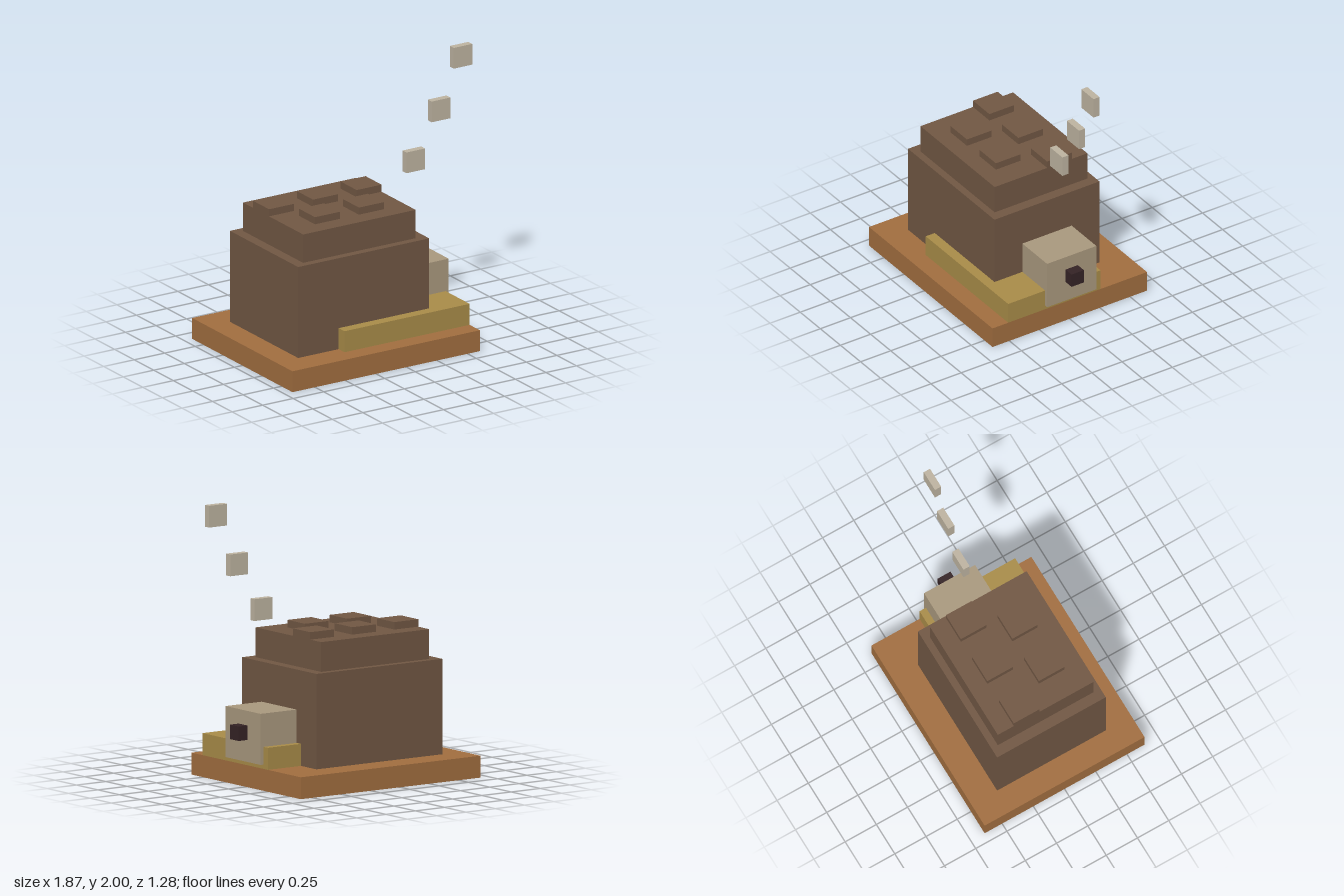
import * as THREE from 'three';

function material(name, color) {
  const m = new THREE.MeshStandardMaterial({ color });
  m.name = name;
  return m;
}

export function createModel() {
  const model = new THREE.Group();
  model.name = 'sleepingBlockAnimal';

  const orangeWood = material('orangeWood', 0xa36f40);
  const straw = material('straw', 0xaa8d49);
  const brown = material('brown', 0x725844);
  const tan = material('tan', 0xab9a7f);
  const dark = material('darkBrown', 0x352326);
  const pale = material('paleStone', 0xbfb5a2);

  // Box given by its extents on each axis
  function box(name, mat, [x0, x1], [y0, y1], [z0, z1], parent = model) {
    const mesh = new THREE.Mesh(new THREE.BoxGeometry(x1 - x0, y1 - y0, z1 - z0), mat);
    mesh.position.set((x0 + x1) / 2, (y0 + y1) / 2, (z0 + z1) / 2);
    mesh.name = name;
    parent.add(mesh);
    return mesh;
  }

  // Ground slab and bedding
  box('base', orangeWood, [-0.935, 0.6], [0, 0.153], [-0.64, 0.64]);
  box('bedding', straw, [-0.425, 0.6], [0.153, 0.307], [-0.255, 0.51]);

  // Body in two steps
  box('body', brown, [-0.757, 0.317], [0.153, 0.82], [-0.435, 0.435]);
  box('upperShell', brown, [-0.682, 0.24], [0.82, 1.028], [-0.385, 0.382]);

  // Raised plates on the back: three in the far row, two in the near row
  const plates = new THREE.Group();
  plates.name = 'backPlates';
  model.add(plates);
  const rows = [
    { z: [-0.257, -0.053], xs: [-0.682, -0.322, 0.036] },
    { z: [0.05, 0.253], xs: [-0.502, -0.142] },
  ];
  for (const { z, xs } of rows) {
    for (const x of xs) box('backPlate', brown, [x, x + 0.204], [1.028, 1.08], z, plates);
  }

  // Head and nose
  box('head', tan, [0.317, 0.625], [0.183, 0.54], [-0.204, 0.204]);
  box('nose', dark, [0.625, 0.701], [0.337, 0.438], [-0.05, 0.052]);

  // Floating sleep blocks rising above the head
  for (const [x, y] of [[0.47, 1.233], [0.677, 1.566], [0.857, 1.924]]) {
    box('sleepBlock', pale, [x - 0.076, x + 0.076], [y - 0.076, y + 0.076], [-0.025, 0.025]);
  }

  return model;
}
